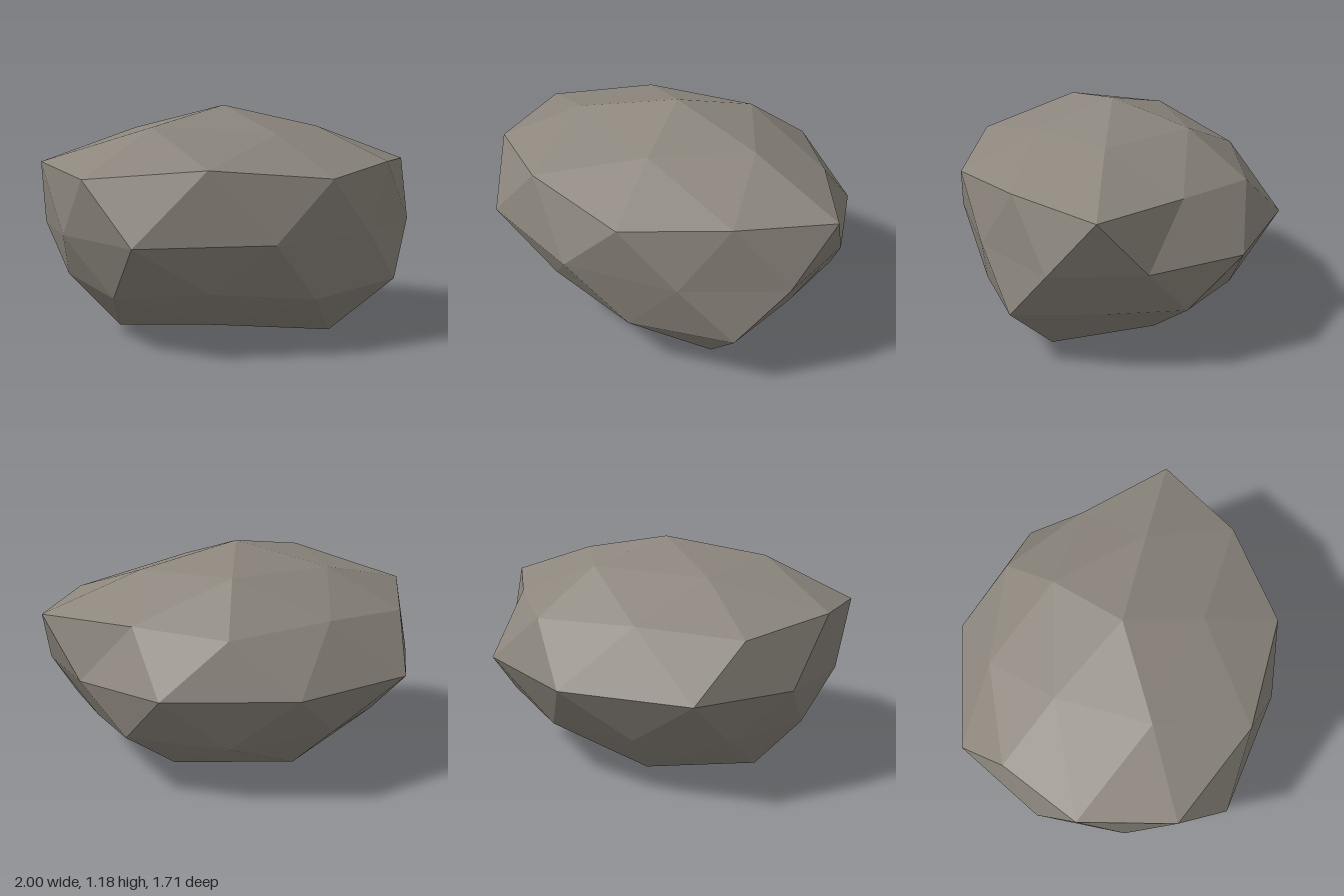
import * as THREE from 'three';

// Centre of the boulder and its flattening along each axis
const CENTRE = new THREE.Vector3(-0.04, 0.57, 0.04);
const SQUASH = new THREE.Vector3(1, 0.575, 0.78);

// A ring of points: height and start angle on the unit sphere, then a radius per point
function ring(height, startDeg, radii) {
  const flat = Math.sqrt(1 - height * height);
  return radii.map((r, i) => {
    const a = THREE.MathUtils.degToRad(startDeg + (i * 360) / radii.length);
    return new THREE.Vector3(flat * Math.cos(a), height, flat * Math.sin(a))
      .multiplyScalar(r).multiply(SQUASH).add(CENTRE);
  });
}

function boulderGeometry() {
  // Rings from top to bottom, with uneven radii for the rugged shape
  const [top] = ring(1, 0, [1.06]);
  const A = ring(0.851, 0, [1.0, 0.98, 1.06, 0.99, 1.02]);
  const M = ring(0.526, 36, [1.09, 1.155, 1.128, 1.0, 0.98]);
  const B = ring(0.447, 0, [1.163, 1.135, 1.165, 1.045, 1.05]);
  const E = ring(0, 18, [1.01, 0.97, 1.05, 1.125, 0.94, 0.955, 1.115, 1.148, 1.075, 0.955]);
  const L = ring(-0.447, 36, [1.09, 0.975, 0.93, 1.01, 1.005]);
  const N = ring(-0.526, 0, [0.905, 1.03, 0.99, 0.93, 1.0]);
  const P = ring(-0.851, 36, [1.168, 0.965, 1.083, 1.045, 1.01]);
  const [bottom] = ring(-1, 0, [0.86]);

  // Five identical sectors of sixteen facets
  const corners = [];
  for (let k = 0; k < 5; k++) {
    const n = (k + 1) % 5, p = (k + 4) % 5;
    const e0 = E[2 * k], e1 = E[2 * k + 1], ep = E[(2 * k + 9) % 10];
    corners.push(
      // crown
      top, A[n], A[k], A[k], M[k], B[k], A[k], A[n], M[k], A[n], B[n], M[k],
      // sides
      B[k], M[k], e0, M[k], B[n], e1, M[k], e1, e0, e0, e1, L[k],
      B[k], e0, ep, ep, N[k], L[p], ep, e0, N[k], e0, L[k], N[k],
      // underside
      L[p], N[k], P[p], N[k], P[k], P[p], N[k], L[k], P[k], P[p], P[k], bottom
    );
  }
  const geometry = new THREE.BufferGeometry().setFromPoints(corners);
  geometry.computeVertexNormals();
  return geometry;
}

export function createModel() {
  const stone = new THREE.MeshStandardMaterial({ color: 0x8c867d, flatShading: true });
  stone.name = 'warm grey stone';

  const boulder = new THREE.Mesh(boulderGeometry(), stone);
  boulder.name = 'boulder';

  const group = new THREE.Group();
  group.name = 'rock';
  group.add(boulder);
  return group;
}
